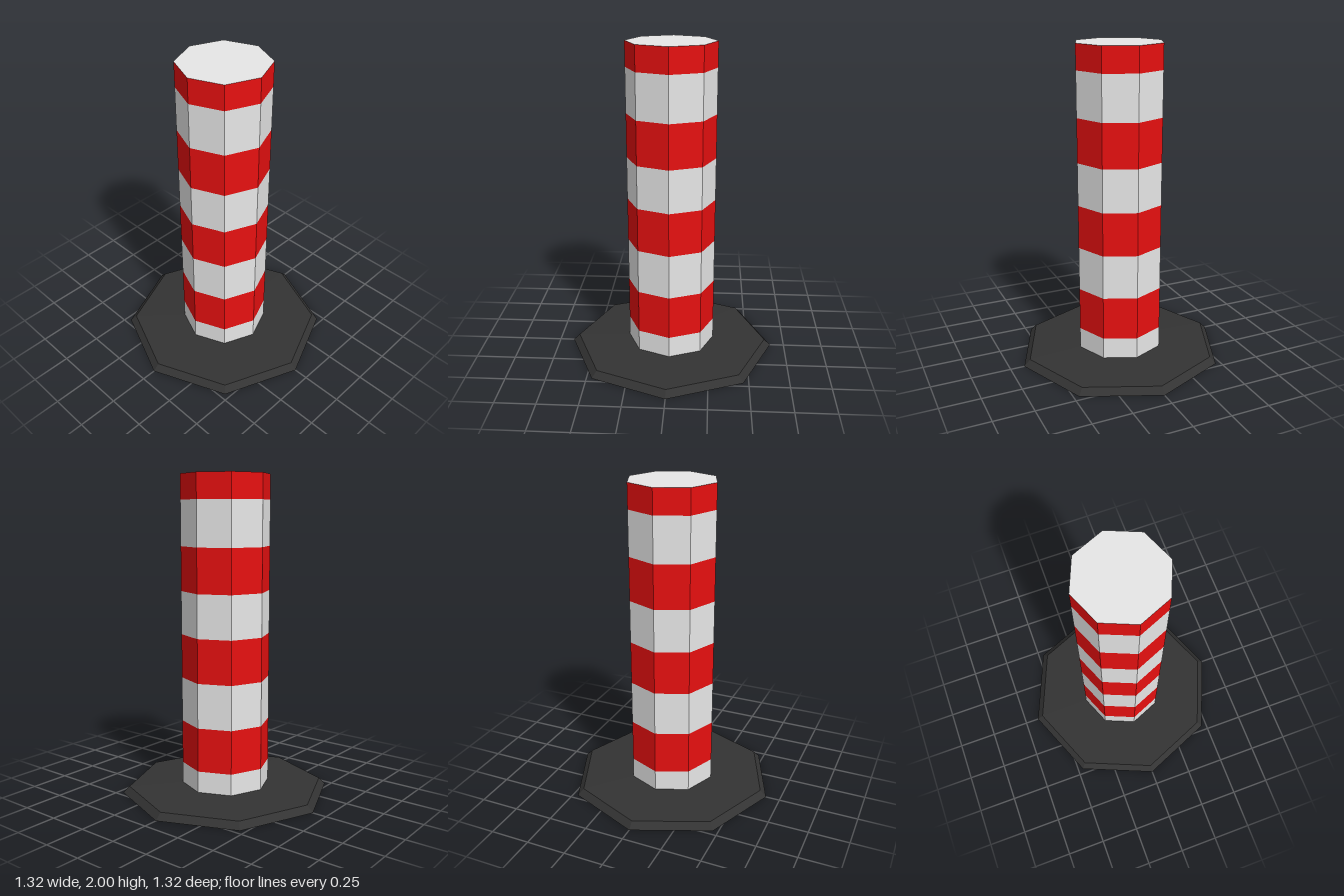
import * as THREE from 'three';

const SIDES = 8;
const RADIUS = 0.277;

function paint(name, color) {
  const m = new THREE.MeshStandardMaterial({ color, flatShading: true, side: THREE.DoubleSide });
  m.name = name;
  return m;
}

export function createModel() {
  const group = new THREE.Group();
  group.name = 'trafficPost';
  const white = paint('white', 0xe7e7e7);
  const red = paint('red', 0xe71010);
  const rubber = paint('black rubber', 0x333333);

  const add = (name, geometry, material, y = 0) => {
    const mesh = new THREE.Mesh(geometry, material);
    mesh.name = name;
    mesh.position.y = y;
    group.add(mesh);
    return mesh;
  };

  // Hollow foot: bevelled rim and gently rising top, open underneath
  const profile = [[0.66, 0], [0.62, 0.04], [RADIUS, 0.055]].map(p => new THREE.Vector2(...p));
  add('baseFoot', new THREE.LatheGeometry(profile, SIDES), rubber);

  // Alternating stripes of the open tube
  const levels = [0.055, 0.19, 0.465, 0.745, 1.02, 1.29, 1.565, 1.845, 2];
  for (let i = 0; i < levels.length - 1; i++) {
    const h = levels[i + 1] - levels[i];
    const isRed = i % 2 === 1;
    add(`${isRed ? 'red' : 'white'}Stripe${i + 1}`,
      new THREE.CylinderGeometry(RADIUS, RADIUS, h, SIDES, 1, true),
      isRed ? red : white, levels[i] + h / 2);
  }

  // Flat cap closing the top
  const cap = new THREE.CircleGeometry(RADIUS, SIDES);
  cap.rotateX(-Math.PI / 2);
  add('topCap', cap, white, 2);

  return group;
}
